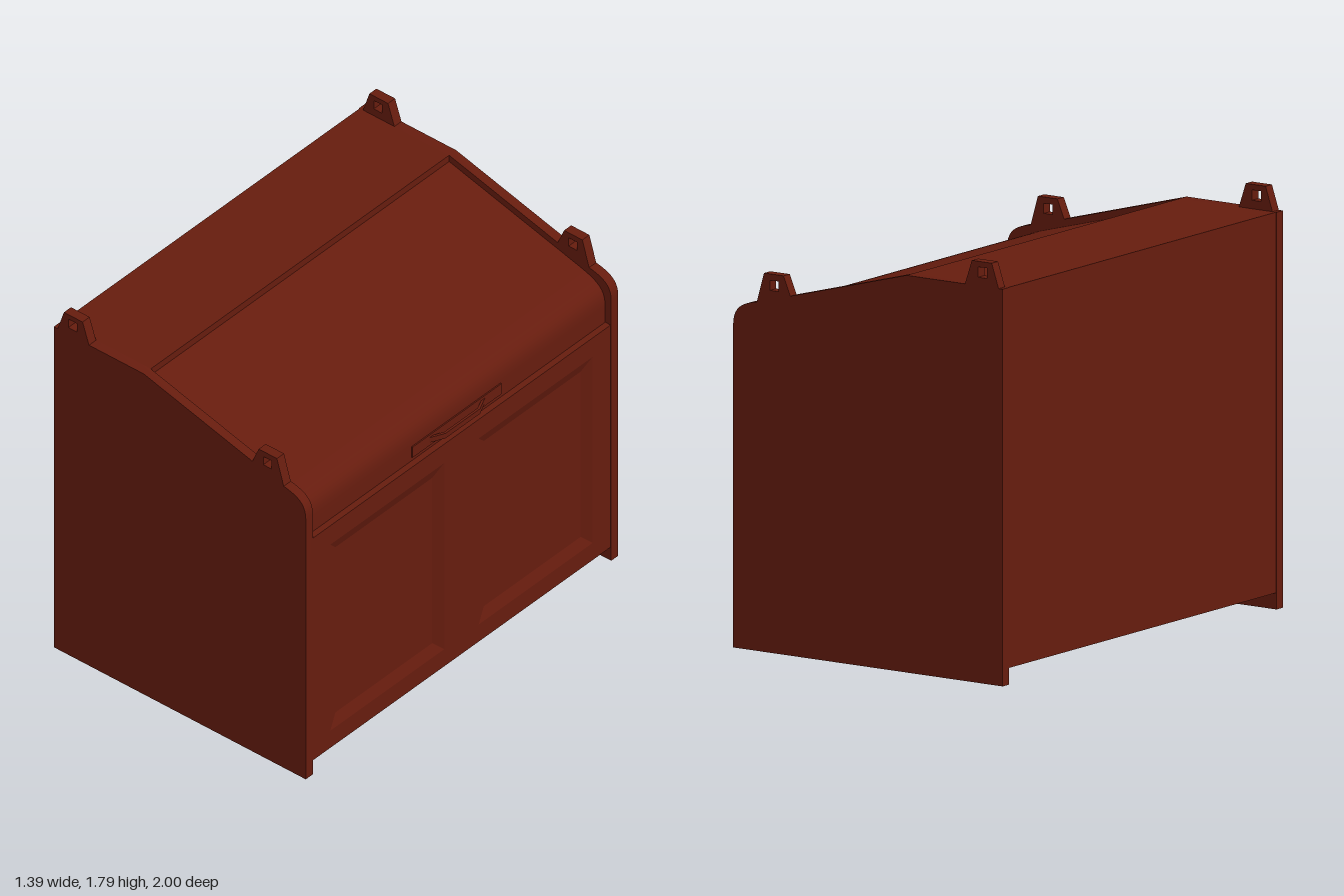
import * as THREE from 'three';
import { toCreasedNormals } from 'three/addons/utils/BufferGeometryUtils.js';

const HALF = 0.955; // inner half width between the side panels
const FRONT = 0.685, CORE = 0.665;
const mat = new THREE.MeshStandardMaterial({ color: 0x661c0e });

const poly = (pts, Type = THREE.Shape) => new Type(pts.map(([x, y]) => new THREE.Vector2(x, y)));
const rect = (x0, y0, x1, y1) => [[x0, y0], [x1, y0], [x1, y1], [x0, y1]];

function extrude(shape, depth) {
  const geo = new THREE.ExtrudeGeometry(shape, { depth, bevelEnabled: false, curveSegments: 10 });
  return toCreasedNormals(geo, 0.5);
}

// Sloping border from an outer rectangle at the face to an inner one set back
function bevelFrame(z0, y0, z1, y1, inset) {
  const outer = rect(z0, y0, z1, y1);
  const inner = rect(z0 + inset, y0 + inset, z1 - inset, y1 - inset);
  const pos = [];
  for (let i = 0; i < 4; i++) {
    const j = (i + 1) % 4;
    const a = [...outer[i], 0.02], b = [...outer[j], 0.02];
    const c = [...inner[j], 0.001], d = [...inner[i], 0.001];
    pos.push(...a, ...b, ...c, ...a, ...c, ...d);
  }
  const geo = new THREE.BufferGeometry();
  geo.setAttribute('position', new THREE.Float32BufferAttribute(pos, 3));
  geo.computeVertexNormals();
  return geo;
}

export function createModel() {
  const group = new THREE.Group();
  const add = (name, geo) => {
    const mesh = new THREE.Mesh(geo, mat);
    mesh.name = name;
    group.add(mesh);
    return mesh;
  };

  // Side panels with lifting lugs
  const side = poly([[-0.693, 0], [0.688, 0], [0.688, 1.37]]);
  side.bezierCurveTo(0.688, 1.45, 0.64, 1.47, 0.567, 1.483);
  [[0.53, 1.61], [0.43, 1.61], [0.395, 1.528], [-0.2, 1.688], [-0.5, 1.688],
    [-0.535, 1.792], [-0.637, 1.792], [-0.672, 1.688], [-0.693, 1.688]]
    .forEach(([x, y]) => side.lineTo(x, y));
  side.holes.push(poly(rect(-0.613, 1.724, -0.567, 1.768), THREE.Path));
  side.holes.push(poly(rect(0.455, 1.54, 0.5, 1.583), THREE.Path));
  const sideGeo = extrude(side, 1 - HALF);
  add('leftSidePanel', sideGeo).position.z = HALF;
  add('rightSidePanel', sideGeo).position.z = -1;

  // Body with the raised rear top
  const body = poly([[-0.69, 0.07], [CORE, 0.07], [CORE, 1.24], [-0.2, 1.24], [-0.2, 1.688], [-0.69, 1.688]]);
  add('body', extrude(body, 2 * HALF)).position.z = -HALF;

  // Sloping lid, rounded over at the front
  const lid = poly([[-0.2, 1.24], [0.655, 1.24], [0.655, 1.32]]);
  lid.bezierCurveTo(0.655, 1.41, 0.62, 1.435, 0.5, 1.467);
  lid.lineTo(-0.2, 1.655);
  add('lid', extrude(lid, 2 * HALF)).position.z = -HALF;

  // Front plate with two sunken panels
  const plate = poly(rect(-HALF, 0.07, HALF, 1.24));
  const panels = [[-0.84, -0.11], [0.11, 0.84]];
  for (const [a, b] of panels) {
    plate.holes.push(poly(rect(a, 0.16, b, 1.14), THREE.Path));
    const frame = add('panelBevel', bevelFrame(a, 0.16, b, 1.14, 0.055));
    frame.rotation.y = Math.PI / 2;
    frame.position.x = CORE;
  }
  const front = add('frontPlate', extrude(plate, FRONT - CORE));
  front.rotation.y = Math.PI / 2;
  front.position.x = CORE;

  // Handle: backing plate and a bent grip
  const backing = add('handlePlate', new THREE.BoxGeometry(0.01, 0.055, 0.57));
  backing.position.set(0.656, 1.287, 0);
  const grip = poly([[-0.18, 0], [-0.11, 0.033], [0.11, 0.033], [0.18, 0],
    [0.155, 0], [0.105, 0.022], [-0.105, 0.022], [-0.155, 0]]);
  const gripGeo = extrude(grip, 0.026);
  gripGeo.rotateX(Math.PI / 2).rotateY(Math.PI / 2);
  add('handleGrip', gripGeo).position.set(0.66, 1.301, 0);

  return group;
}
